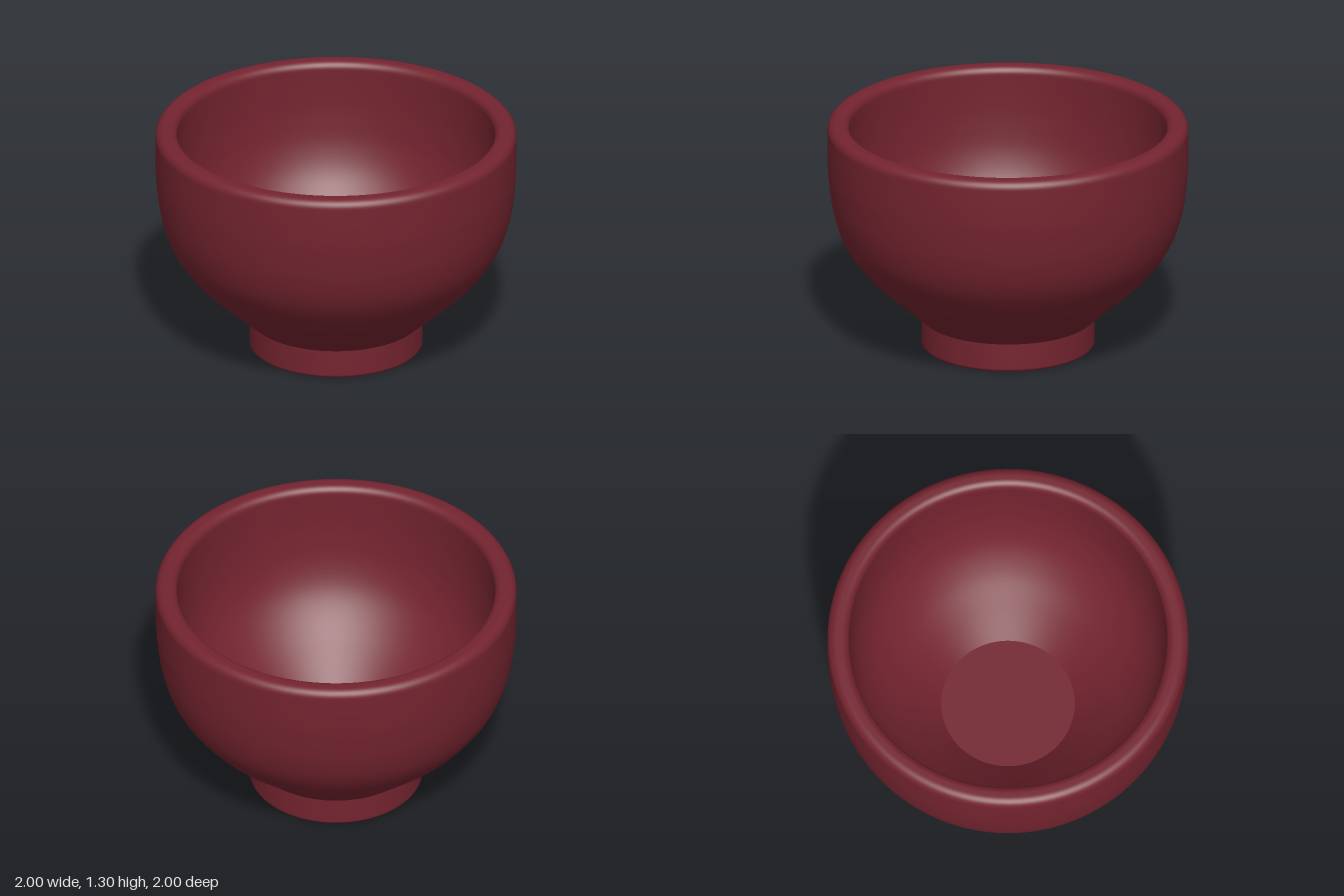
import * as THREE from 'three';

const SEGMENTS = 96;
const v = (x, y) => new THREE.Vector2(x, y);

// Quarter-round corner points between two angles
function arc(cx, cy, r, from, to, steps = 8) {
  return Array.from({ length: steps + 1 }, (_, i) => {
    const a = from + ((to - from) * i) / steps;
    return v(cx + r * Math.cos(a), cy + r * Math.sin(a));
  });
}

export function createModel() {
  const group = new THREE.Group();
  group.name = 'bowl';

  const glaze = new THREE.MeshStandardMaterial({ color: 0x74242f });
  glaze.name = 'wine red glaze';

  const turn = (name, points) => {
    const mesh = new THREE.Mesh(new THREE.LatheGeometry(points, SEGMENTS), glaze);
    mesh.name = name;
    group.add(mesh);
  };

  // Foot ring: flat base, then a softened edge and straight side
  turn('footBase', [v(0, 0), v(0.46, 0)]);
  turn('footSide', [...arc(0.46, 0.02, 0.02, -Math.PI / 2, 0, 5), v(0.48, 0.09), v(0.48, 0.165)]);

  // Body: outer wall, rounded rim and inner wall in one smooth profile
  const outer = new THREE.SplineCurve([
    v(0.48, 0.165), v(0.63, 0.3), v(0.78, 0.44), v(0.905, 0.61),
    v(0.968, 0.79), v(0.994, 0.98), v(1, 1.12), v(1, 1.255),
  ]).getPoints(40);
  const inner = new THREE.SplineCurve([
    v(0.88, 1.26), v(0.88, 1.12), v(0.874, 0.98), v(0.85, 0.81),
    v(0.79, 0.65), v(0.68, 0.5), v(0.53, 0.355), v(0.37, 0.21),
  ]).getPoints(40);
  turn('bodyAndRim', [
    ...outer,
    ...arc(0.95, 1.255, 0.05, 0, Math.PI / 2).slice(1),
    ...arc(0.925, 1.26, 0.045, Math.PI / 2, Math.PI),
    ...inner.slice(1),
  ]);

  // Flat floor inside the bowl
  turn('innerFloor', [v(0.37, 0.21), v(0, 0.21)]);

  return group;
}
